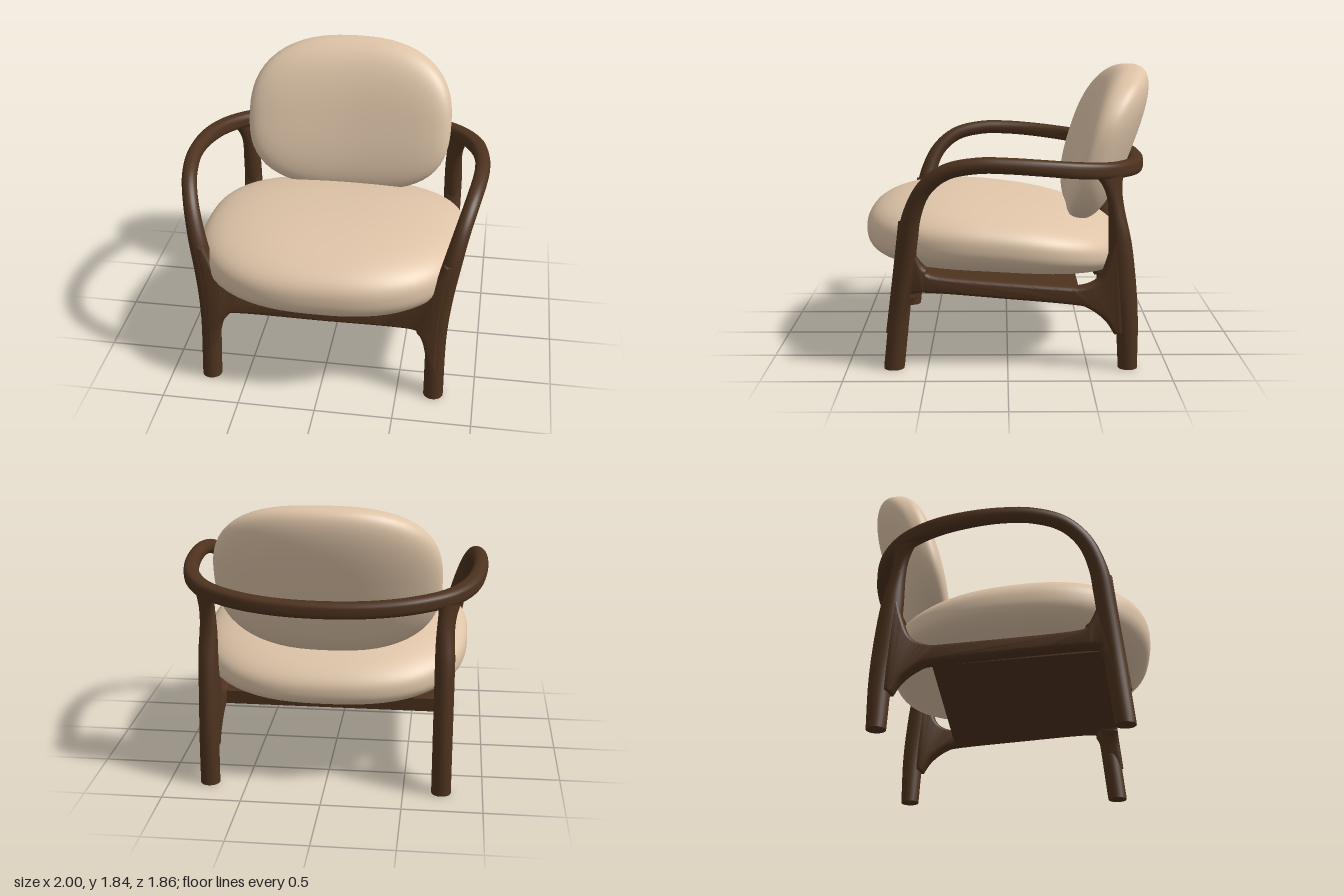
import * as THREE from 'three';
import { mergeVertices, toCreasedNormals } from 'three/addons/utils/BufferGeometryUtils.js';

const wood = new THREE.MeshStandardMaterial({ color: 0x4d321e });
wood.name = 'dark wood';
const fabric = new THREE.MeshStandardMaterial({ color: 0xdec4a8 });
fabric.name = 'beige fabric';

const { smoothstep, lerp } = THREE.MathUtils;

function add(group, name, geometry, material) {
  const mesh = new THREE.Mesh(geometry, material);
  mesh.name = name;
  group.add(mesh);
  return mesh;
}

// Move every vertex of a geometry by a rule
function warp(geometry, rule) {
  const pos = geometry.attributes.position;
  const v = new THREE.Vector3();
  for (let i = 0; i < pos.count; i++) {
    v.fromBufferAttribute(pos, i);
    rule(v, i);
    pos.setXYZ(i, v.x, v.y, v.z);
  }
  return geometry;
}

// Unit pillow: outline exponent n in the xz plane, edge exponent m across it
function pillow(n, m, rule) {
  let g = new THREE.SphereGeometry(1, 72, 48);
  g.deleteAttribute('uv');
  g.deleteAttribute('normal');
  g = mergeVertices(g, 1e-5);
  warp(g, (v) => {
    const flat = Math.pow(Math.abs(v.x) ** n + Math.abs(v.z) ** n, 1 / n);
    v.divideScalar(Math.pow(flat ** m + Math.abs(v.y) ** m, 1 / m));
    rule(v);
  });
  g.computeVertexNormals();
  return g;
}

// Rounded board whose outline is a chain of smooth runs joined at corners
function board(runs, depth, bevel, inset) {
  const shape = new THREE.Shape();
  shape.moveTo(...runs[0][0]);
  runs.forEach((run, i) => {
    const pts = run.map((p) => new THREE.Vector2(...p));
    if (i > 0) shape.lineTo(pts[0].x, pts[0].y);
    if (pts.length > 2) shape.splineThru(pts.slice(1));
    else shape.lineTo(pts[1].x, pts[1].y);
  });
  const g = new THREE.ExtrudeGeometry(shape, {
    depth: depth - 2 * bevel, curveSegments: 30, bevelEnabled: true,
    bevelThickness: bevel, bevelSize: inset, bevelOffset: -inset, bevelSegments: 5,
  });
  g.translate(0, 0, bevel - depth / 2);
  return g;
}

// One unbroken rail: front leg, arm, back, arm, front leg
function railGeometry() {
  const half = [
    [0.74, 0, 0.71], [0.742, 0.45, 0.66], [0.775, 0.75, 0.62], [0.825, 0.99, 0.58],
    [0.87, 1.16, 0.5], [0.91, 1.265, 0.37], [0.94, 1.308, 0.18], [0.95, 1.308, 0],
    [0.938, 1.293, -0.2], [0.885, 1.27, -0.42], [0.765, 1.25, -0.61],
    [0.55, 1.235, -0.755], [0.3, 1.222, -0.825],
  ].map((p) => new THREE.Vector3(...p));
  const other = half.map((p) => new THREE.Vector3(-p.x, p.y, p.z)).reverse();
  const curve = new THREE.CatmullRomCurve3([...half, new THREE.Vector3(0, 1.218, -0.85), ...other]);
  const segs = 200, sides = 24;
  const g = new THREE.TubeGeometry(curve, segs, 1, sides);
  const c = new THREE.Vector3();
  warp(g, (v, i) => {
    const ring = Math.floor(i / (sides + 1));
    curve.getPointAt(ring / segs, c);
    v.sub(c);
    // Round legs, squarer section towards the back
    const square = Math.pow(v.y ** 4 + (v.x * v.x + v.z * v.z) ** 2, -0.25);
    const radius = lerp(0.064, 0.049, smoothstep(c.y, 0.75, 1.25));
    v.multiplyScalar(radius * lerp(1, square, smoothstep(-c.z, -0.1, 0.5))).add(c);
    if (ring === 0 || ring === segs) v.y = 0;
  });
  g.computeVertexNormals();
  return toCreasedNormals(g, 1);
}

// Back leg lofted from oval sections: z centre, height, half depth
function backLegGeometry(s) {
  const path = new THREE.CatmullRomCurve3([
    [-0.75, 0, 0.06], [-0.74, 0.3, 0.07], [-0.713, 0.55, 0.08], [-0.69, 0.8, 0.071],
    [-0.665, 1.0, 0.052], [-0.65, 1.1, 0.052], [-0.632, 1.18, 0.07], [-0.612, 1.245, 0.108],
  ].map((p) => new THREE.Vector3(...p)));
  const p = new THREE.Vector3();
  const g = warp(new THREE.CylinderGeometry(1, 1, 1, 28, 40), (v) => {
    path.getPoint(v.y + 0.5, p);
    const z = p.x + v.z * p.z;
    // The upper end slims down and turns to follow the rail
    const up = smoothstep(p.y, 0.85, 1.22);
    const x = 0.74 + up * (0.01 + 0.65 * (z + 0.64));
    v.set(s * x + v.x * lerp(0.062, 0.046, up), p.y, z);
  });
  return toCreasedNormals(g, 0.9);
}

export function createModel() {
  const model = new THREE.Group();
  model.name = 'lounge chair';

  const frame = new THREE.Group();
  frame.name = 'frame';
  model.add(frame);
  add(frame, 'front legs, arms and back rail', railGeometry(), wood);

  // Side rails with curved brackets into both legs (outline in z, y)
  const sideRuns = [
    [[-0.72, 0.22], [-0.7, 0.84]],
    [[-0.645, 0.84], [-0.612, 0.7], [-0.56, 0.58], [-0.46, 0.53], [-0.3, 0.535], [0.4, 0.595],
      [0.5, 0.64], [0.54, 0.7], [0.565, 0.78]],
    [[0.635, 0.78], [0.69, 0.28]],
    [[0.635, 0.28], [0.612, 0.38], [0.58, 0.455], [0.52, 0.488], [0, 0.447], [-0.4, 0.41],
      [-0.5, 0.385], [-0.6, 0.31], [-0.66, 0.22]],
  ];
  for (const s of [1, -1]) {
    const label = s > 0 ? 'left ' : 'right ';
    const side = board(sideRuns, 0.115, 0.05, 0.025);
    side.rotateY(-Math.PI / 2);
    side.translate(s * 0.74, 0, 0);
    add(frame, label + 'side rail', toCreasedNormals(side, 0.7), wood);
    add(frame, label + 'back leg', backLegGeometry(s), wood);

    const foot = add(frame, label + 'front foot', new THREE.CircleGeometry(0.063, 24), wood);
    foot.rotation.x = Math.PI / 2;
    foot.position.set(s * 0.74, 0.001, 0.71);
  }

  // Scooped front apron, leaning back with the front legs
  const mirror = (run) => run.map(([x, y]) => [-x, y]).reverse();
  const scoop = [[0, 0.605], [0.3, 0.62], [0.5, 0.66], [0.62, 0.72], [0.7, 0.81], [0.765, 0.95]];
  const outer = [[0.82, 0.95], [0.77, 0.62], [0.755, 0.22]];
  const under = [[0.7, 0.22], [0.675, 0.32], [0.655, 0.4], [0.62, 0.46], [0.54, 0.495], [0, 0.495]];
  const apron = board([scoop, outer, under, mirror(under), mirror(outer), mirror(scoop)], 0.115, 0.04, 0.022);
  warp(apron, (v) => { v.z += 0.652 - 0.13 * (v.y - 0.6); });
  add(frame, 'front apron', toCreasedNormals(apron, 0.7), wood);

  // Sloping board under the seat
  const base = add(frame, 'seat board', new THREE.BoxGeometry(1.4, 0.09, 1.06), wood);
  base.position.set(0, 0.499, 0.09);
  base.rotation.x = -0.07;

  // Seat cushion, thicker and higher at the front
  add(model, 'seat cushion', pillow(2.6, 2.6, (v) => {
    const t = v.z;
    const mid = 0.775 + 0.07 * t - 0.055 * t * t;
    v.set(v.x * 0.88, mid + v.y * (0.232 + 0.03 * t), 0.075 + t * 0.855);
  }), fabric);

  // Back cushion, leaning back and wrapping forward at the sides
  add(model, 'back cushion', pillow(2.6, 2.7, (v) => {
    const t = -v.z; // up the cushion
    const x = v.x * 0.71;
    v.set(x, 1.34 + 0.5 * t, -0.65 - 0.165 * t + 0.2 * x * x + v.y * (0.18 + 0.015 * t));
  }), fabric);

  return model;
}
